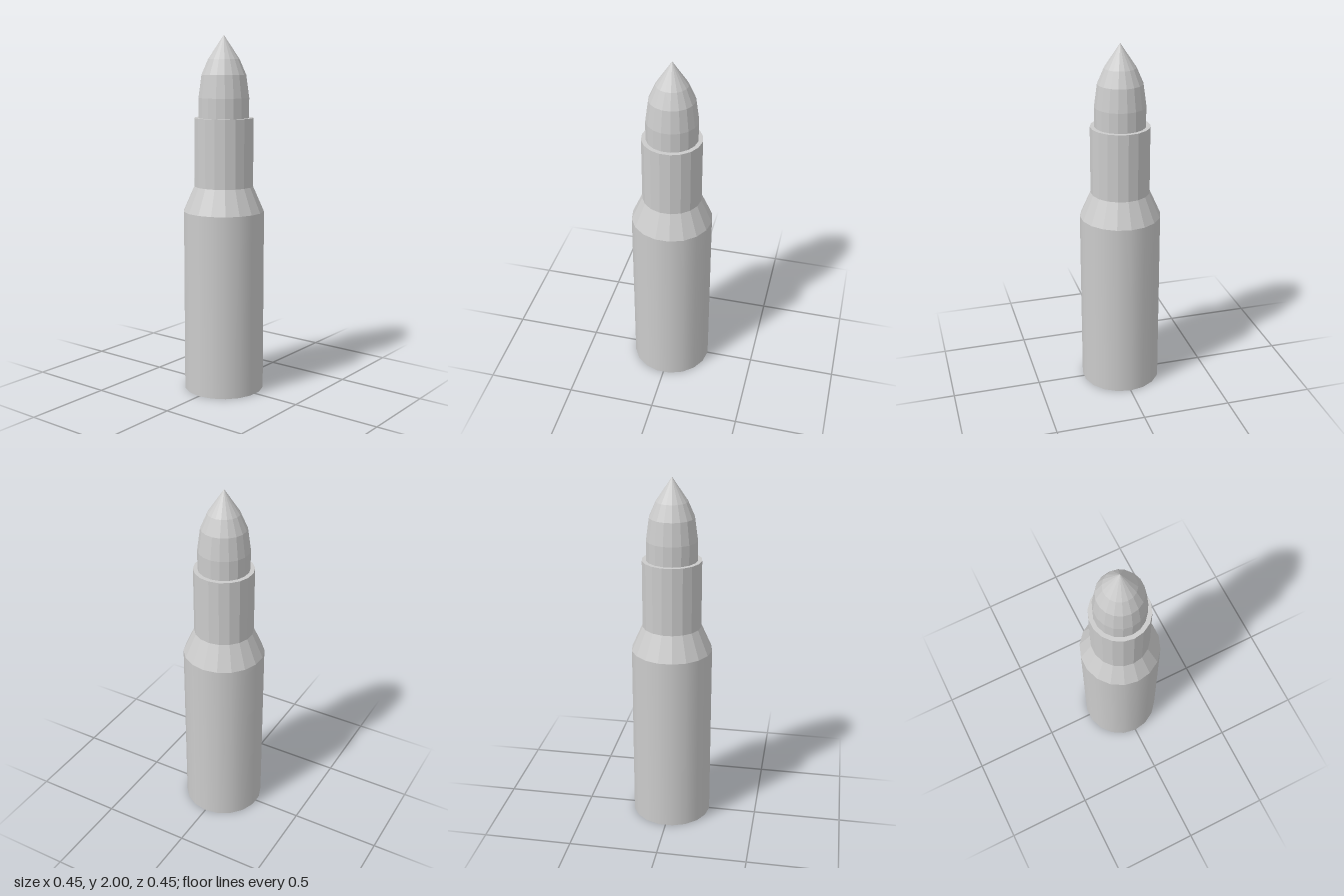
import * as THREE from 'three';

const SIDES = 18;

// Revolves a [radius, height] profile (listed bottom to top) with a corner on the x axis
function turned(name, profile, flatShading) {
  const points = profile.map(([r, y]) => new THREE.Vector2(r, y));
  const geometry = new THREE.LatheGeometry(points, SIDES, Math.PI / 2);
  const material = new THREE.MeshStandardMaterial({ color: 0xcccccc, flatShading });
  const mesh = new THREE.Mesh(geometry, material);
  mesh.name = name;
  return mesh;
}

export function createModel() {
  const group = new THREE.Group();
  group.name = 'cartridge';

  // Flat base and smooth straight case wall
  group.add(turned('caseBase', [[0, 0], [0.227, 0]], true));
  group.add(turned('caseBody', [[0.227, 0], [0.227, 1.03]], false));

  // Faceted shoulder, neck and the rim around the tip
  group.add(turned('caseShoulder', [[0.227, 1.03], [0.165, 1.17]], true));
  group.add(turned('caseNeck', [[0.165, 1.17], [0.165, 1.55], [0.141, 1.55]], true));

  // Pointed tip
  group.add(turned('bulletTip', [
    [0.141, 1.55], [0.141, 1.66], [0.124, 1.785], [0.087, 1.87], [0, 2],
  ], true));

  return group;
}
